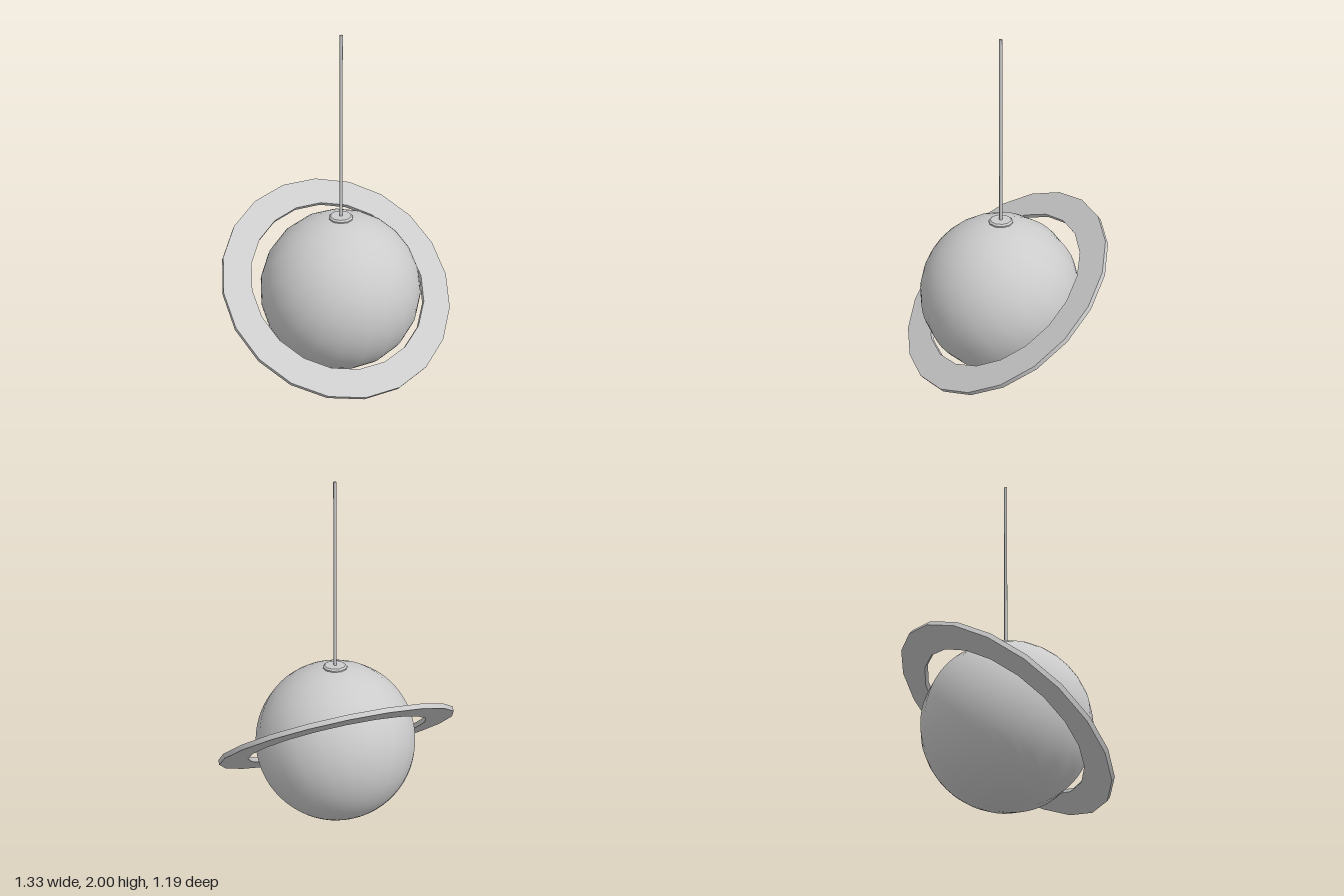
import * as THREE from 'three';
import { toCreasedNormals } from 'three/addons/utils/BufferGeometryUtils.js';

const SIDES = 20;

export function createModel() {
  const model = new THREE.Group();
  model.name = 'ringedPlanetPendantLamp';
  const material = new THREE.MeshStandardMaterial({ color: 0xcccccc });

  const add = (name, geometry, x, y, z) => {
    const mesh = new THREE.Mesh(geometry, material);
    mesh.name = name;
    mesh.position.set(x, y, z);
    model.add(mesh);
    return mesh;
  };

  // Closed or open profile turned about y, with sharp edges kept
  const turned = (profile, sides) => toCreasedNormals(
    new THREE.LatheGeometry(profile.map(([r, y]) => new THREE.Vector2(r, y)), sides), 0.65);

  // Shared tilt: the planet's axis leans towards the front and its left
  const axis = new THREE.Vector3(0.32, 0.79, 0.52).normalize();
  const spoke = new THREE.Vector3(0.242, 0.29, -0.589).projectOnPlane(axis).normalize();
  const side = new THREE.Vector3().crossVectors(axis, spoke);
  const tilt = new THREE.Quaternion().setFromRotationMatrix(
    new THREE.Matrix4().makeBasis(side, axis, spoke));

  // Globe shade
  add('globe', new THREE.SphereGeometry(0.468, SIDES, 32), 0.01, 0.469, 0.018)
    .quaternion.copy(tilt);

  // Flat ring with a rectangular section
  const inner = 0.53, outer = 0.697, half = 0.014;
  add('ring', turned([
    [inner, -half], [outer, -half], [outer, half], [inner, half], [inner, -half],
  ], SIDES), 0, 0.49, 0).quaternion.copy(tilt);

  // Bevelled collar where the rod meets the globe
  add('collar', turned([
    [0, -0.02], [0.055, -0.02], [0.055, -0.008], [0.07, -0.004],
    [0.07, 0.003], [0.06, 0.012], [0, 0.012],
  ], 10), 0.013, 0.937, 0.013);

  // Hanging rod
  const bottom = 0.93, top = 2;
  add('rod', new THREE.CylinderGeometry(0.009, 0.009, top - bottom, 10),
    0.013, (top + bottom) / 2, 0.013);

  return model;
}
